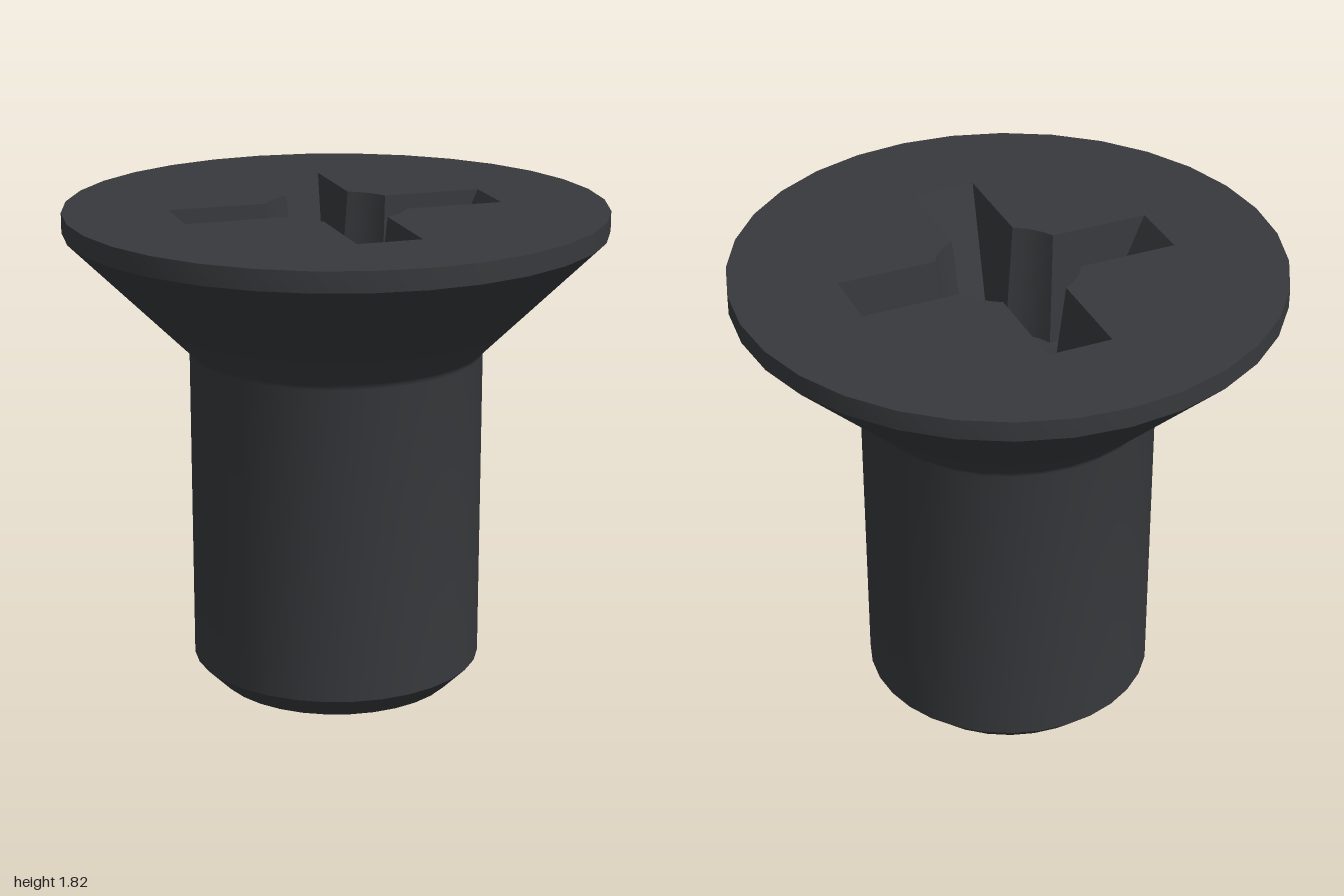
import * as THREE from 'three';
import { toCreasedNormals } from 'three/addons/utils/BufferGeometryUtils.js';

const SIDES = 32, TOP = 1.82, FLOOR = 1.39;
const MOUTH = { w: 0.12, len: 0.6, r: 0.26 };   // recess at the head face
const BASE = { w: 0.08, len: 0.385, r: 0.22 };  // recess at its floor

const polar = (r, a) => new THREE.Vector2(r * Math.cos(a), r * Math.sin(a));

// Points along an arc, both ends included
function arc(r, from, to, steps) {
  return Array.from({ length: steps + 1 }, (_, i) => polar(r, from + (to - from) * i / steps));
}

// Counter-clockwise cross outline with a round centre
function crossOutline({ w, len, r }) {
  const a = Math.asin(w / r), points = [];
  for (let k = 0; k < 4; k++) {
    const quarter = [
      polar(r, -a), new THREE.Vector2(len, -w), new THREE.Vector2(len, w),
      ...arc(r, a, Math.PI / 2 - a, 4).slice(0, -1),
    ];
    const origin = new THREE.Vector2();
    points.push(...quarter.map(p => p.rotateAround(origin, k * Math.PI / 2)));
  }
  return points;
}

// Flat horizontal face, facing up
function flatFace(shape, y) {
  return new THREE.ShapeGeometry(shape).rotateX(-Math.PI / 2).translate(0, y, 0);
}

// Sloping walls between the mouth and floor outlines, facing inward
function wallGeometry() {
  const top = crossOutline(MOUTH), low = crossOutline(BASE), pos = [];
  const put = (p, y) => pos.push(p.x, y, -p.y);
  top.forEach((t, i) => {
    const j = (i + 1) % top.length;
    put(t, TOP); put(top[j], TOP); put(low[j], FLOOR);
    put(t, TOP); put(low[j], FLOOR); put(low[i], FLOOR);
  });
  const g = new THREE.BufferGeometry();
  g.setAttribute('position', new THREE.Float32BufferAttribute(pos, 3));
  return toCreasedNormals(g, 0.4);
}

export function createModel() {
  const screw = new THREE.Group();
  screw.name = 'countersunkScrew';
  const material = new THREE.MeshStandardMaterial({ color: 0x37393c });
  const add = (name, geometry, parent = screw) => {
    const mesh = new THREE.Mesh(geometry, material);
    mesh.name = name;
    parent.add(mesh);
    return mesh;
  };

  // Chamfered shank, small fillet, countersunk cone and rim
  const profile = [
    [0, 0], [0.455, 0], [0.545, 0.09], [0.545, 1.28],
    [0.548, 1.293], [0.556, 1.303], [1, 1.745], [1, TOP],
  ].map(([x, y]) => new THREE.Vector2(x, y));
  add('shankAndHead', toCreasedNormals(new THREE.LatheGeometry(profile, SIDES), 0.5));

  // Head face with the cross-shaped opening
  const face = new THREE.Shape(arc(1, 0, Math.PI * 2, SIDES).slice(0, -1));
  face.holes.push(new THREE.Path(crossOutline(MOUTH)));
  add('headFace', flatFace(face, TOP));

  // Cross recess: walls, four arm floors and a conical centre
  const recess = new THREE.Group();
  recess.name = 'crossRecess';
  screw.add(recess);
  add('recessWalls', wallGeometry(), recess);

  const { w, len, r } = BASE, a = Math.asin(w / r);
  const armFloor = flatFace(new THREE.Shape([
    new THREE.Vector2(len, -w), new THREE.Vector2(len, w), ...arc(r, a, -a, 4),
  ]), FLOOR);
  for (let k = 0; k < 4; k++) add('armFloor', armFloor, recess).rotation.y = k * Math.PI / 2;

  const cone = [new THREE.Vector2(r, FLOOR), new THREE.Vector2(0, FLOOR - 0.08)];
  add('recessCone', new THREE.LatheGeometry(cone, SIDES), recess);

  return screw;
}
